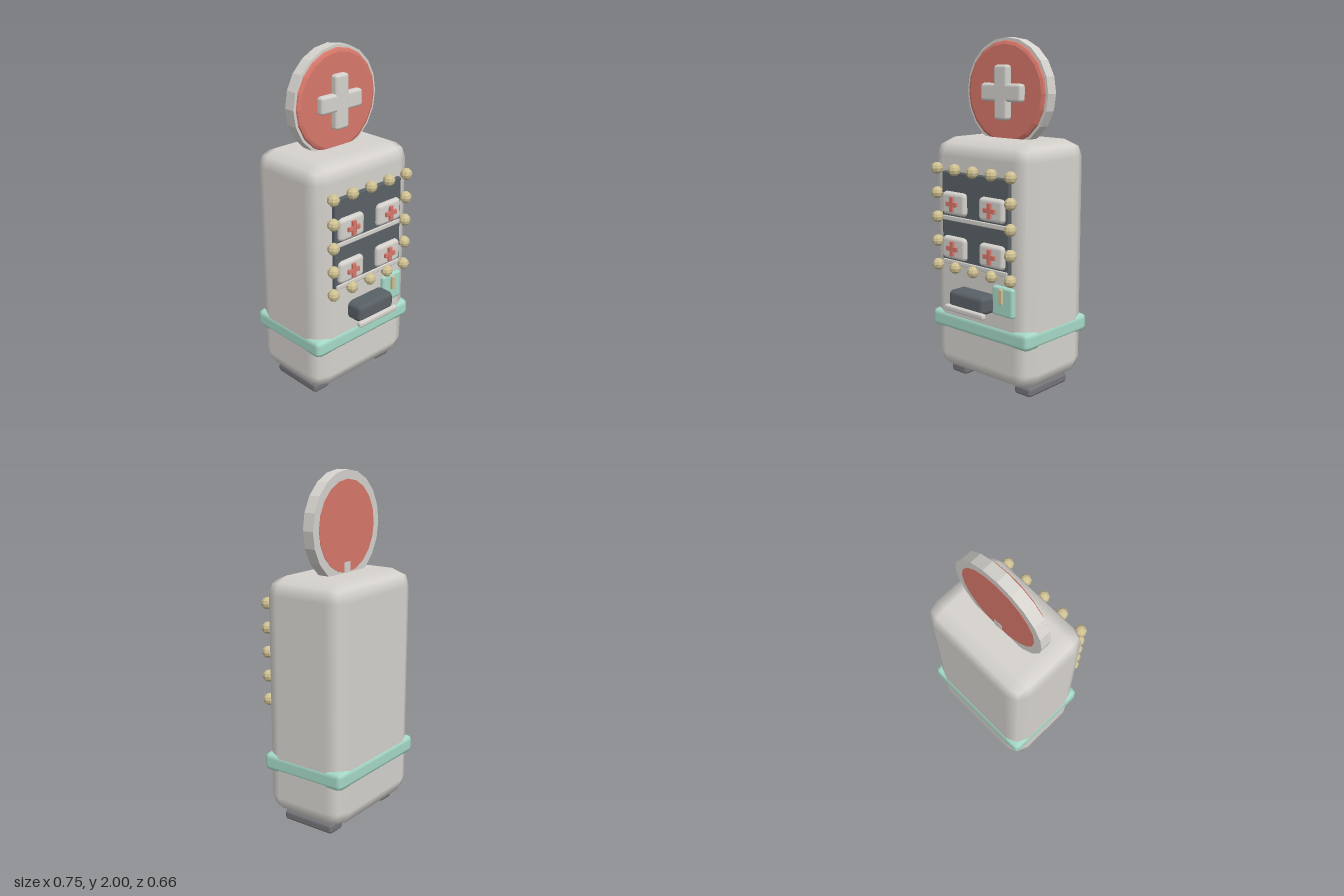
import * as THREE from 'three';
import { RoundedBoxGeometry } from 'three/addons/geometries/RoundedBoxGeometry.js';

const paint = (name, color) => Object.assign(new THREE.MeshStandardMaterial({ color }), { name });

export function createModel() {
  const shell = paint('warm light grey', 0xd6d3ce);
  const red = paint('coral red', 0xd8786b);
  const mint = paint('mint green', 0xa6dac9);
  const dark = paint('charcoal', 0x5a6166);
  const brass = paint('pale brass', 0xcfc193);
  const rubber = paint('foot grey', 0x757479);
  brass.flatShading = true;

  const model = new THREE.Group();
  model.name = 'vendingMachine';

  const add = (name, geometry, material, parent = model) => {
    const mesh = new THREE.Mesh(geometry, material);
    mesh.name = name;
    parent.add(mesh);
    return mesh;
  };
  // Softly bevelled box given by its extents on each axis
  const block = (name, [x0, x1], [y0, y1], [z0, z1], r, material, parent) => {
    const g = new RoundedBoxGeometry(x1 - x0, y1 - y0, z1 - z0, 1, r);
    g.translate((x0 + x1) / 2, (y0 + y1) / 2, (z0 + z1) / 2);
    return add(name, g, material, parent);
  };
  // Faceted disc with its axis along z
  const disc = (name, rFront, rBack, z0, z1, material, parent) => {
    const g = new THREE.CylinderGeometry(rFront, rBack, z1 - z0, 20).rotateX(Math.PI / 2);
    g.translate(0, 1.695, (z0 + z1) / 2);
    const flat = g.toNonIndexed();
    flat.computeVertexNormals();
    return add(name, flat, material, parent);
  };

  // Cabinet, belt and feet
  block('cabinet', [-0.37, 0.37], [0.055, 1.44], [-0.322, 0.208], 0.1, shell);
  block('belt', [-0.376, 0.376], [0.308, 0.415], [-0.33, 0.216], 0.032, mint);
  for (const s of [-1, 1]) {
    block('foot', [s * 0.255 - 0.06, s * 0.255 + 0.06], [0, 0.056], [-0.222, 0.115], 0.018, rubber);
  }

  // Round sign with a raised cross
  const sign = new THREE.Group();
  sign.name = 'sign';
  model.add(sign);
  disc('signRim', 0.305, 0.305, -0.1, -0.033, shell, sign);
  disc('signFace', 0.285, 0.29, -0.035, -0.024, red, sign);
  disc('signFaceBevel', 0.268, 0.285, -0.024, -0.017, red, sign);
  disc('signBackPlate', 0.255, 0.255, -0.102, -0.099, red, sign);
  block('signPost', [-0.03, 0.03], [1.38, 1.5], [-0.104, -0.03], 0.004, shell, sign);
  block('crossUpright', [-0.05, 0.05], [1.542, 1.85], [-0.03, 0.024], 0.018, shell, sign);
  block('crossBar', [-0.153, 0.153], [1.645, 1.747], [-0.03, 0.023], 0.018, shell, sign);

  // Display window and shelves
  block('window', [-0.258, 0.258], [0.715, 1.256], [0.19, 0.231], 0.01, dark);
  for (const y of [0.732, 0.988]) {
    block('shelf', [-0.25, 0.25], [y - 0.014, y + 0.014], [0.2, 0.238], 0.006, shell);
  }

  // First aid boxes on the shelves
  for (const y of [0.82, 1.077]) {
    for (const x of [-0.147, 0.143]) {
      const kit = new THREE.Group();
      kit.name = 'firstAidBox';
      kit.position.set(x, y, 0);
      model.add(kit);
      block('box', [-0.093, 0.093], [-0.067, 0.067], [0.2, 0.257], 0.024, shell, kit);
      block('crossBar', [-0.043, 0.043], [-0.013, 0.013], [0.25, 0.27], 0.002, red, kit);
      block('crossUpright', [-0.013, 0.013], [-0.043, 0.043], [0.25, 0.271], 0.002, red, kit);
    }
  }

  // Bulbs around the window
  const bulb = new THREE.SphereGeometry(0.035, 8, 6);
  for (let i = 0; i < 5; i++) {
    for (let j = 0; j < 5; j++) {
      if (i % 4 && j % 4) continue;
      add('bulb', bulb, brass).position.set(-0.282 + i * 0.141, 0.706 + j * 0.141, 0.244);
    }
  }

  // Dispensing tray and coin panel
  block('dispenser', [-0.138, 0.138], [0.485, 0.595], [0.18, 0.31], 0.03, dark);
  block('trayLip', [-0.153, 0.153], [0.473, 0.508], [0.294, 0.327], 0.012, shell);
  block('coinPanel', [0.13, 0.283], [0.485, 0.655], [0.18, 0.231], 0.015, mint);
  block('coinSlot', [0.192, 0.216], [0.56, 0.643], [0.22, 0.245], 0.002, brass);

  return model;
}
